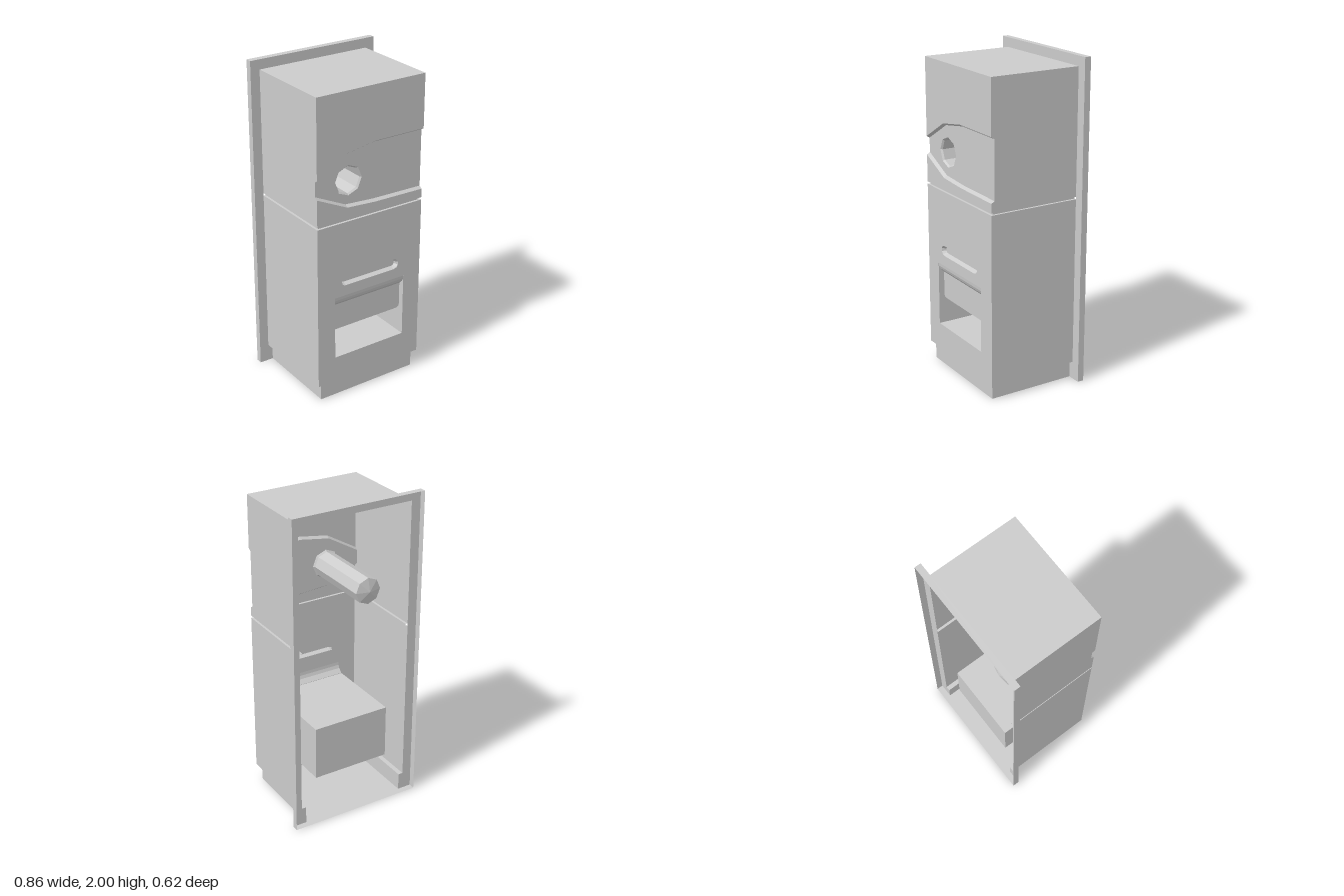
import * as THREE from 'three';

const material = new THREE.MeshStandardMaterial({ color: 0xcccccc, side: THREE.DoubleSide, flatShading: true });
const W = 0.37, FRONT = 0.31, BACK = -0.27, RECESS = 0.29;

// Skin between successive rows of [x, y, z] points
function loft(rows, closed = false) {
  const n = rows[0].length, pos = [];
  for (let r = 0; r < rows.length - 1; r++) {
    for (let i = 0; i < (closed ? n : n - 1); i++) {
      const j = (i + 1) % n;
      const a = rows[r][i], b = rows[r][j], c = rows[r + 1][j], d = rows[r + 1][i];
      pos.push(...a, ...d, ...c, ...a, ...c, ...b);
    }
  }
  const g = new THREE.BufferGeometry();
  g.setAttribute('position', new THREE.Float32BufferAttribute(pos, 3));
  g.computeVertexNormals();
  return g;
}

const vectors = (pts) => pts.map(([x, y]) => new THREE.Vector2(x, y));
const at = (pts, z) => pts.map(([x, y]) => [x, y, z]);

// Flat panel facing +z, with optional holes
function panel(outline, z, holes = []) {
  const shape = new THREE.Shape(vectors(outline));
  holes.forEach((h) => shape.holes.push(new THREE.Path(vectors(h))));
  return new THREE.ShapeGeometry(shape).translate(0, 0, z);
}

const rect = (x, y0, y1) => [[-x, y0], [x, y0], [x, y1], [-x, y1]];

const octagon = (r) => Array.from({ length: 8 }, (_, i) => {
  const a = (i * Math.PI) / 4;
  return [-0.145 + r * Math.cos(a), 1.4 + r * Math.sin(a)];
});

function stadium(halfLength, r) {
  const pts = [];
  for (let i = 0; i < 12; i++) {
    const a = -Math.PI / 2 + (Math.PI * (i < 6 ? i : i - 1)) / 5;
    const side = i < 6 ? 1 : -1;
    pts.push([side * (halfLength - r) + r * Math.cos(a), 0.778 + r * Math.sin(a)]);
  }
  return pts;
}

// U-shaped plan of the body at one height, open at the back
const plan = (w, front, y) => [[-w, y, BACK], [-w, y, front], [w, y, front], [w, y, BACK]];

export function createModel() {
  const model = new THREE.Group();
  const add = (name, geometry) => {
    const mesh = new THREE.Mesh(geometry, material);
    mesh.name = name;
    model.add(mesh);
  };

  // Upper front: two raised panels around a recessed band
  const upperEdge = [[-W, 1.455], [-0.165, 1.575], [0.03, 1.607], [W, 1.607]];
  const lowerEdge = [[-W, 1.34], [-0.165, 1.243], [0.03, 1.23], [W, 1.225]];
  const upperInner = upperEdge.map(([x, y]) => [x, y - 0.013]);
  const lowerInner = lowerEdge.map(([x, y]) => [x, y + 0.013]);
  add('upperFrontPanel', panel([...upperEdge, [W, 1.94], [-W, 1.94]], FRONT));
  add('middleFrontPanel', panel([[-W, 1.17], [W, 1.17], ...[...lowerEdge].reverse()], FRONT));
  add('upperLedge', loft([at(upperEdge, FRONT), at(upperInner, RECESS)]));
  add('lowerLedge', loft([at(lowerInner, RECESS), at(lowerEdge, FRONT)]));
  add('recessedBand', panel([...lowerInner, ...[...upperInner].reverse()], RECESS, [octagon(0.093)]));

  // Octagonal tube running back from the band, closed by a shallow cone
  add('roundTube', loft([
    at(octagon(0.093), RECESS), at(octagon(0.083), 0.28),
    at(octagon(0.083), -0.18), at(octagon(0.0001), -0.2),
  ], true));

  // Upper sides, notched where the band meets the edge
  for (const s of [-1, 1]) {
    const k = s < 0 ? 0 : 3;
    const front = [
      [s * W, 1.17, FRONT], [s * W, lowerEdge[k][1], FRONT], [s * W, lowerInner[k][1], RECESS],
      [s * W, upperInner[k][1], RECESS], [s * W, upperEdge[k][1], FRONT], [s * W, 1.94, FRONT],
    ];
    const back = front.map(([x, y]) => [x, y, BACK]);
    add('upperSide', loft(s > 0 ? [front, back].reverse() : [front, back]));
    add('lowerSide', loft([
      [[s * W, 1.155, BACK], [s * W, 1.155, FRONT]],
      [[s * W, 0.11, BACK], [s * W, 0.11, FRONT]],
    ]));
  }
  add('top', loft([
    [[-W, 1.94, BACK], [W, 1.94, BACK]],
    [[-W, 1.94, FRONT], [W, 1.94, FRONT]],
  ]));

  // Groove between the upper and lower halves
  add('groove', loft([
    plan(W, FRONT, 1.17), plan(0.355, 0.295, 1.17),
    plan(0.355, 0.295, 1.155), plan(W, FRONT, 1.155),
  ]));

  // Lower front with handle slot and tray opening
  add('lowerFrontPanel', panel(rect(W, 0.11, 1.155), FRONT, [stadium(0.208, 0.032), rect(0.25, 0.275, 0.68)]));
  add('handleSlot', loft([at(stadium(0.208, 0.032), FRONT), at(stadium(0.194, 0.02), 0.285)], true));
  add('handleSlotBack', panel(stadium(0.194, 0.02), 0.285));

  // Tray: a [y, z] section swept across, with flat ends
  const section = [
    [0.68, FRONT], [0.66, 0.308], [0.64, 0.3], [0.615, 0.275],
    [0.615, -0.24], [0.275, -0.24], [0.275, FRONT],
  ];
  add('tray', loft([-0.25, 0.25].map((x) => section.map(([y, z]) => [x, y, z]))));
  for (const s of [-1, 1]) {
    const end = panel(section.map(([y, z]) => [z, y]), 0).rotateY(-Math.PI / 2);
    add('trayEnd', end.translate(s * 0.25, 0, 0));
  }

  // Hanging flap with rounded lower corners
  const flap = new THREE.Shape();
  flap.moveTo(-0.25, 0.617);
  flap.lineTo(-0.25, 0.47);
  flap.quadraticCurveTo(-0.25, 0.445, -0.225, 0.445);
  flap.lineTo(0.225, 0.445);
  flap.quadraticCurveTo(0.25, 0.445, 0.25, 0.47);
  flap.lineTo(0.25, 0.617);
  add('trayFlap', new THREE.ShapeGeometry(flap, 4).translate(0, 0, 0.273));

  // Stepped plinth and floor
  add('plinth', loft([plan(W, FRONT, 0.11), plan(0.34, 0.29, 0.11), plan(0.34, 0.29, 0)]));
  add('floor', loft([
    [[-0.34, 0, 0.29], [0.34, 0, 0.29]],
    [[-0.34, 0, BACK], [0.34, 0, BACK]],
  ]));

  // Rear flange with a turned-back rim
  add('rearFlange', panel([
    [-0.43, 0], [-0.34, 0], [-0.34, 0.11], [-W, 0.11], [-W, 1.94], [W, 1.94],
    [W, 0.11], [0.34, 0.11], [0.34, 0], [0.43, 0], [0.43, 2], [-0.43, 2],
  ], BACK));
  add('flangeRim', loft([at(rect(0.43, 0, 2), BACK), at(rect(0.43, 0, 2), -0.31)], true));

  return model;
}
